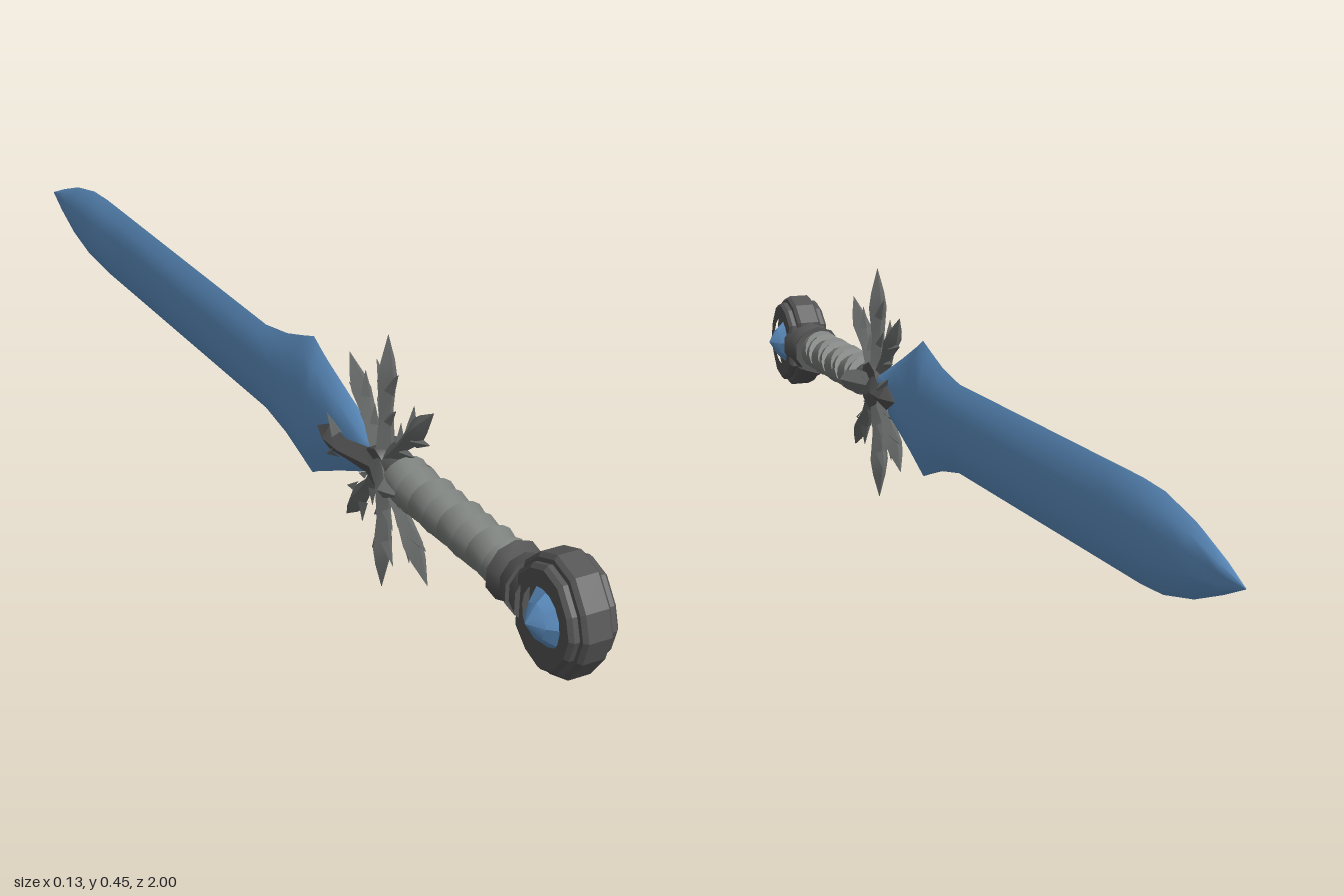
import * as THREE from 'three';
import { toCreasedNormals } from 'three/addons/utils/BufferGeometryUtils.js';

const mat = (name, color) => {
  const m = new THREE.MeshStandardMaterial({ color });
  m.name = name;
  return m;
};
const CY = 0.235; // height of the sword's axis

// Skin a unit outline along z. Stations are [z, half thickness x, half width y, x shift].
function loft(outline, stations, crease = 0.6) {
  const pos = [], idx = [], n = outline.length;
  for (const [z, hx, hy, sx = 0] of stations)
    for (const [px, py] of outline) pos.push(px * hx + sx, py * hy, z);
  for (let i = 0; i < stations.length - 1; i++)
    for (let j = 0; j < n; j++) {
      const a = i * n + j, b = i * n + (j + 1) % n;
      idx.push(a, b, b + n, a, b + n, a + n);
    }
  const g = new THREE.BufferGeometry();
  g.setAttribute('position', new THREE.Float32BufferAttribute(pos, 3));
  g.setIndex(idx);
  return toCreasedNormals(g, crease);
}

const DIAMOND = [[1, 0], [0, 1], [-1, 0], [0, -1]];
const LENS = [[1, -0.3], [1, 0.3], [0.6, 0.75], [0, 1], [-0.6, 0.75], [-1, 0.3], [-1, -0.3], [-0.6, -0.75], [0, -1], [0.6, -0.75]];

export function createModel() {
  const blue = mat('blue', 0x5f92c6);
  const steel = mat('steel', 0x6c706e);
  const wrap = mat('gripWrap', 0x7c807d);
  const dark = mat('darkMetal', 0x535453);

  const sword = new THREE.Group();
  sword.name = 'sword';
  const add = (name, geo, m, parent = sword) => {
    const mesh = new THREE.Mesh(geo, m);
    mesh.name = name;
    parent.add(mesh);
    return mesh;
  };

  // Blade: tip at -z, flared shoulders near the guard
  add('blade', loft(LENS, [
    [-1, 0.0005, 0.0005], [-0.94, 0.011, 0.026], [-0.86, 0.02, 0.056], [-0.77, 0.026, 0.076],
    [-0.7, 0.026, 0.08], [-0.6, 0.021, 0.08], [0, 0.021, 0.08], [0.08, 0.024, 0.095],
    [0.135, 0.028, 0.113], [0.175, 0.028, 0.127], [0.2, 0.027, 0.113], [0.28, 0.023, 0.075],
    [0.37, 0.019, 0.035], [0.42, 0.015, 0.02]], 0.75), blue);

  // Guard: a star of barbed spikes in the plane of the blade
  const guard = new THREE.Group();
  guard.name = 'guard';
  guard.position.z = 0.415;
  sword.add(guard);

  const barb = (name, parent, x, y, z, tilt, size) => {
    const g = loft(DIAMOND, [[0, size * 0.25, size * 0.3], [size, 0.0003, 0.0003]], 0.1);
    const b = add(name, g, steel, parent);
    b.position.set(x, y, z);
    b.rotation.x = tilt;
  };
  const spike = (angle, len) => {
    const s = new THREE.Group();
    s.name = 'guardSpike';
    s.rotation.x = -angle;
    guard.add(s);
    const k = len / 0.225;
    add('spikeBody', loft(DIAMOND, [
      [0, 0.02, 0.022], [0.05 * k, 0.016, 0.017], [0.095 * k, 0.013, 0.012],
      [0.15 * k, 0.018, 0.021], [0.18 * k, 0.013, 0.015], [len, 0.0003, 0.0003]], 0.5), steel, s);
    for (const side of [1, -1]) {
      barb('spikeBarb', s, 0, side * 0.01, 0.135 * k, -side * 0.6, 0.042);
      barb('spikeBarb', s, 0, side * 0.008, 0.08 * k, -side * 0.7, 0.034);
    }
  };
  const D = Math.PI / 180;
  for (const side of [1, -1]) {
    spike(side * 90 * D, 0.225);
    spike(side * 47 * D, 0.205);
    spike(side * 129 * D, 0.19);

    // Prongs clasping the flat of the blade and the top of the grip
    add('bladeProng', loft(DIAMOND, [
      [-0.17, 0.0003, 0.0003, side * 0.03], [-0.125, 0.016, 0.024, side * 0.03],
      [-0.075, 0.016, 0.018, side * 0.029], [0, 0.014, 0.026, side * 0.012]], 0.3), dark, guard);
    add('gripProng', loft(DIAMOND, [
      [-0.01, 0.012, 0.02, side * 0.012], [0.04, 0.014, 0.024, side * 0.03],
      [0.07, 0.012, 0.017, side * 0.043], [0.105, 0.0003, 0.0003, side * 0.036]], 0.3), steel, guard);
    for (const up of [1, -1])
      barb('prongBarb', guard, side * 0.03, up * 0.012, -0.1, Math.PI + up * 0.6, 0.045);
  }
  // Hub where the spikes meet
  add('guardHub', new THREE.CylinderGeometry(0.032, 0.045, 0.04, 8).toNonIndexed(), dark, guard).rotation.z = Math.PI / 2;

  // Grip: dark core with slanted overlapping wraps
  const tube = (rBack, rFront, len, sides = 16) =>
    toCreasedNormals(new THREE.CylinderGeometry(rBack, rFront, len, sides).rotateX(Math.PI / 2), 0.7);
  const core = add('gripCore', tube(0.034, 0.03, 0.4), dark);
  core.position.z = 0.63;
  for (let i = 0; i < 8; i++) {
    const w = add('gripWrap', tube(0.035, 0.04, 0.046), wrap);
    w.position.z = 0.495 + i * 0.041;
    w.rotation.x = 0.24;
    w.rotation.y = i % 2 ? 0.1 : -0.06;
  }

  // Collar between grip and pommel
  for (const [z, r1, r2, len] of [[0.798, 0.042, 0.05, 0.024], [0.823, 0.05, 0.042, 0.026], [0.848, 0.052, 0.042, 0.03]])
    add('pommelCollar', tube(r1, r2, len, 10), dark).position.z = z;

  // Pommel: three stacked faceted rings, outlined by [z, half height]
  const half = [[1, 0], [0.988, 0.04], [0.958, 0.082], [0.915, 0.096], [0.875, 0.082], [0.84, 0.05]];
  const outline = [...half, ...half.slice(1).reverse().map(([z, y]) => [z, -y])];
  const ring = (name, scale, hole, x, depth) => {
    const shape = new THREE.Shape(outline.map(([z, y]) => new THREE.Vector2(-(z - 0.915) * scale, y * scale)));
    const cut = new THREE.Path();
    cut.absellipse(0, 0, hole, hole * 1.05, 0, Math.PI * 2, true);
    shape.holes.push(cut);
    const g = new THREE.ExtrudeGeometry(shape, {
      depth: depth - 0.012, bevelEnabled: true, bevelThickness: 0.006, bevelSize: 0.006,
      bevelOffset: -0.006, bevelSegments: 1, curveSegments: 8 });
    g.translate(0, 0, -(depth - 0.012) / 2).rotateY(Math.PI / 2);
    add(name, g, dark).position.set(x, 0, 0.915);
  };
  ring('pommelCore', 1, 0.03, 0, 0.05);
  for (const side of [1, -1]) ring('pommelRim', 0.87, 0.052, side * 0.031, 0.02);

  // Gem set through the pommel, pointed on both sides
  const gem = add('pommelGem', loft(
    Array.from({ length: 8 }, (_, i) => [Math.cos(i * Math.PI / 4), Math.sin(i * Math.PI / 4)]),
    [[-0.067, 0.0005, 0.0005], [-0.05, 0.026, 0.028], [-0.022, 0.05, 0.053],
      [0.022, 0.05, 0.053], [0.05, 0.026, 0.028], [0.067, 0.0005, 0.0005]], 0.5), blue);
  gem.rotation.y = Math.PI / 2;
  gem.position.z = 0.915;

  sword.position.y = CY;
  const model = new THREE.Group();
  model.name = 'model';
  model.add(sword);
  return model;
}
